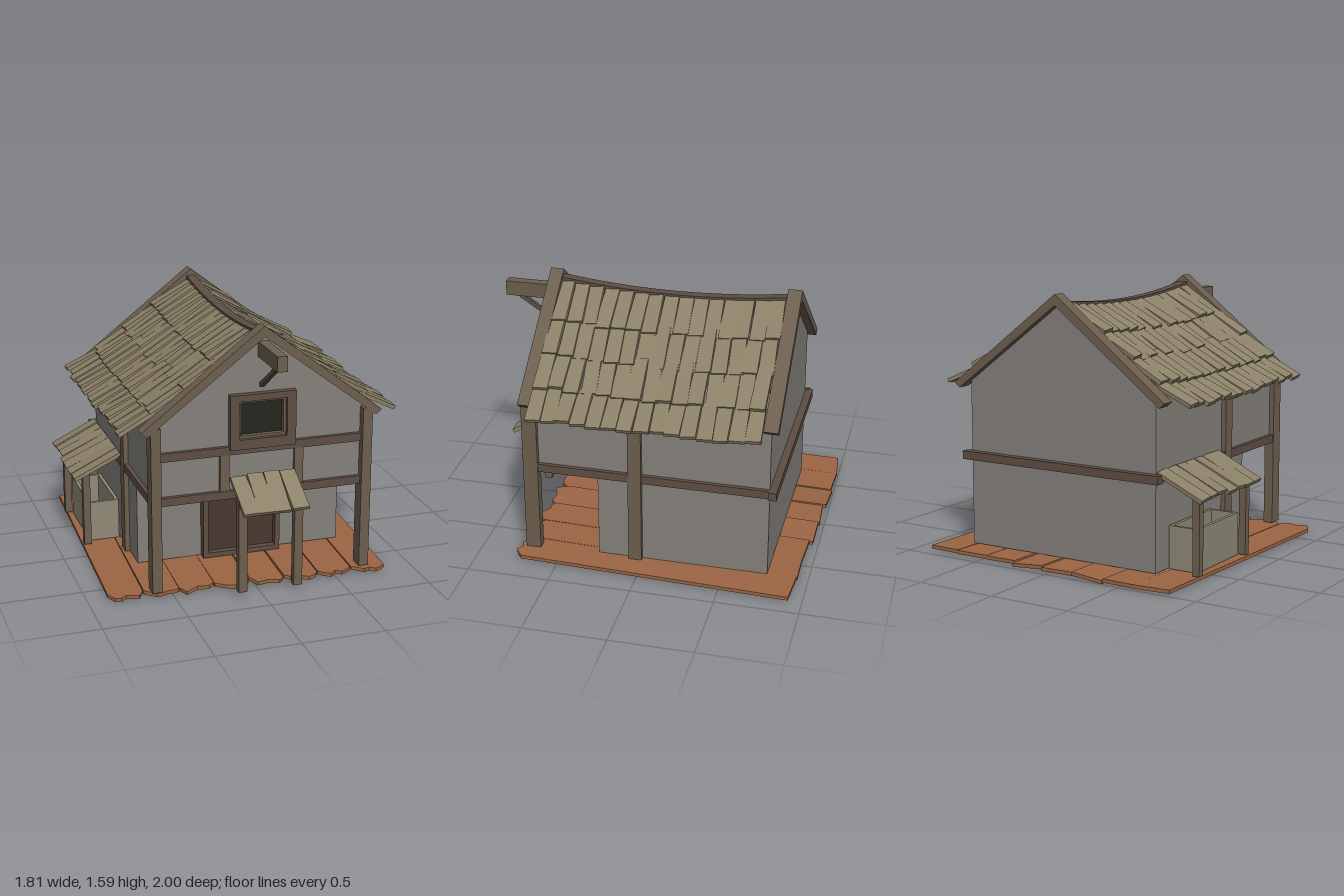
import * as THREE from 'three';

const CX = 0.045; // centre line of the house
const mat = (color) => new THREE.MeshStandardMaterial({ color, flatShading: true, roughness: 0.9, side: THREE.DoubleSide });
const M = {
  wall: mat(0x85817c), timber: mat(0x6d5f4f), dark: mat(0x5e4e44), shingle: mat(0x8c8168),
  plank: mat(0x9c6644), door: mat(0x49382f), glass: mat(0x25261f), crate: mat(0x8f8a76),
};
let seed = 7;
const rnd = (a) => {
  seed = (seed * 16807) % 2147483647;
  return (seed / 2147483647 * 2 - 1) * a;
};

export function createModel() {
  const root = new THREE.Group();
  root.name = 'house';
  const group = (name) => {
    const g = new THREE.Group();
    g.name = name;
    root.add(g);
    return g;
  };
  const add = (parent, name, geo, material) => {
    const m = new THREE.Mesh(geo, material);
    m.name = name;
    parent.add(m);
    return m;
  };
  // box given by its limits
  const box = (parent, name, x0, x1, y0, y1, z0, z1, material) => {
    const m = add(parent, name, new THREE.BoxGeometry(x1 - x0, y1 - y0, z1 - z0), material);
    m.position.set((x0 + x1) / 2, (y0 + y1) / 2, (z0 + z1) / 2);
    return m;
  };
  // outline in x,y extruded from z0 to z1
  const slab = (parent, name, pts, z0, z1, material, hole) => {
    const s = new THREE.Shape(pts.map((p) => new THREE.Vector2(...p)));
    if (hole) s.holes.push(new THREE.Path(hole.map((p) => new THREE.Vector2(...p))));
    const geo = new THREE.ExtrudeGeometry(s, { depth: z1 - z0, bevelEnabled: false });
    return add(parent, name, geo.translate(0, 0, z0), material);
  };
  const rect = (x0, x1, y0, y1) => [[x0, y0], [x1, y0], [x1, y1], [x0, y1]];
  // board running from a to b, with its width along the horizontal axis
  const board = (parent, name, a, b, width, thick, material, flare = 0) => {
    const A = new THREE.Vector3(...a), B = new THREE.Vector3(...b);
    const X = B.clone().sub(A), len = X.length();
    X.normalize();
    const Z = X.clone().cross(new THREE.Vector3(0, 1, 0)).normalize();
    const Y = Z.clone().cross(X);
    const geo = new THREE.BoxGeometry(len, thick, width);
    const p = geo.attributes.position;
    for (let i = 0; i < p.count; i++) p.setZ(i, p.getZ(i) * (p.getX(i) > 0 ? 1 + flare : 1 - flare));
    geo.applyMatrix4(new THREE.Matrix4().makeBasis(X, Y, Z));
    const m = add(parent, name, geo, material);
    m.position.copy(A.add(B).multiplyScalar(0.5));
    return m;
  };

  // plank floor with ragged front ends, slightly askew
  const floor = group('floor');
  for (let i = 0; i < 8; i++) {
    const w = 0.214, x0 = -w / 2, pts = [[x0, 0.885 + rnd(0.02)], [x0 + 0.003, -0.76 + rnd(0.015)]];
    for (let k = 1; k < 6; k++) pts.push([x0 + w * k / 6, -0.8 + rnd(0.028)]);
    pts.push([-x0 - 0.003, -0.76 + rnd(0.015)], [-x0, 0.885 + rnd(0.02)]);
    const plank = slab(floor, 'plank', pts, -0.011, 0.011, M.plank);
    plank.geometry.rotateX(-Math.PI / 2);
    plank.position.set(-0.75 + i * w, 0.028, -0.075);
    plank.rotation.z = rnd(0.09);
  }
  floor.rotation.y = -0.041;

  // walls: closed lower room behind an open porch, upper storey over both
  const walls = group('walls');
  const L = -0.6, R = 0.69;
  box(walls, 'lowerRoom', L, R, 0.045, 0.6, -0.76, 0.27, M.wall);
  box(walls, 'porchCeiling', L, R, 0.585, 0.605, 0.26, 0.67, M.wall);
  for (const x of [L, R - 0.02]) box(walls, 'upperSideWall', x, x + 0.02, 0.6, 1.045, -0.76, 0.67, M.wall);
  const gable = [[L, 0.6], [R, 0.6], [R, 1.06], [CX, 1.56], [L, 1.06]];
  slab(walls, 'frontGable', gable, 0.65, 0.67, M.wall, rect(-0.1, 0.19, 0.93, 1.16));
  slab(walls, 'backGable', gable, -0.76, -0.74, M.wall);

  // timber frame
  const frame = group('timberFrame');
  for (const s of [-1, 1]) {
    const x = CX + s * 0.645;
    box(frame, 'cornerPost', x - 0.03, x + 0.03, 0.045, 1.05, 0.63, 0.72, M.timber);
    box(frame, 'sidePost', x - 0.03, x + 0.03, 0.045, 1.07, 0, 0.08, M.timber);
    box(frame, 'sideBeam', x - 0.025, x + 0.025, 0.57, 0.62, -0.8, 0.64, M.dark);
    const sx = CX + s * 0.2275;
    box(frame, 'stud', sx - 0.0275, sx + 0.0275, 0.62, 0.85, 0.65, 0.69, M.timber);
  }
  box(frame, 'backBeam', -0.64, 0.73, 0.57, 0.62, -0.805, -0.755, M.dark);
  box(frame, 'lowerFrontBeam', L, R, 0.57, 0.62, 0.64, 0.695, M.dark);
  box(frame, 'upperFrontBeam', L, R, 0.84, 0.89, 0.64, 0.695, M.dark);

  // window
  const win = group('window');
  slab(win, 'windowFrame', rect(-0.155, 0.245, 0.87, 1.2), 0.64, 0.71, M.dark, rect(-0.1, 0.19, 0.93, 1.16));
  slab(win, 'windowSash', rect(-0.1, 0.19, 0.93, 1.16), 0.65, 0.685, M.timber, rect(-0.085, 0.175, 0.945, 1.145));
  box(win, 'windowPane', -0.1, 0.19, 0.93, 1.16, 0.645, 0.655, M.glass);

  // arched door on the recessed wall
  const door = group('door');
  const arch = (half, y0, side, top) => {
    const pts = [[CX - half, y0], [CX + half, y0]];
    for (let i = 0; i <= 6; i++) {
      const t = 1 - i / 3;
      pts.push([CX + half * t, top - (top - side) * t * t]);
    }
    return pts;
  };
  slab(door, 'doorFrame', arch(0.245, 0.045, 0.425, 0.485), 0.265, 0.33, M.dark, arch(0.215, 0.075, 0.405, 0.46));
  slab(door, 'doorLeaf', arch(0.22, 0.06, 0.41, 0.465), 0.265, 0.29, M.door);

  // roof: barge boards, sagging ridge, four rows of shingles on each side
  const roof = group('roof');
  const dip = (z) => 0.05 * Math.max(0, 1 - ((z + 0.04) / 0.7) ** 2);
  const chevron = [[0.73, 1.035], [0, 1.6], [-0.73, 1.035], [-0.695, 1.005], [0, 1.535], [0.695, 1.005]]
    .map(([x, y]) => [x + CX, y]);
  slab(roof, 'frontBarge', chevron, 0.64, 0.72, M.timber);
  slab(roof, 'backBarge', chevron, -0.81, -0.725, M.timber);
  const ridge = new THREE.BoxGeometry(0.06, 0.06, 1.39, 1, 1, 12).translate(CX, 1.53, -0.045);
  const rp = ridge.attributes.position;
  for (let i = 0; i < rp.count; i++) rp.setY(i, rp.getY(i) - dip(rp.getZ(i)));
  add(roof, 'ridgeBeam', ridge, M.dark);
  const rows = [ // upper x, y, lower x, y from the centre line, share of the sag
    [0.615, 1.125, 0.84, 1.015, 0.2], [0.41, 1.27, 0.655, 1.13, 0.4],
    [0.21, 1.41, 0.46, 1.255, 0.7], [0.02, 1.535, 0.265, 1.395, 0.9],
  ];
  const count = 15, pitch = 1.37 / count;
  for (const s of [-1, 1]) {
    for (const [x0, y0, x1, y1, sag] of rows) {
      for (let i = 0; i < count; i++) {
        const z = -0.725 + pitch * (i + 0.5), d = dip(z) * sag, e = rnd(0.012);
        const tile = board(roof, 'shingle', [CX + s * x0, y0 - d, z],
          [CX + s * (x1 + e), y1 - d + rnd(0.01), z + rnd(0.008)], pitch * 0.98, 0.024, M.shingle, 0.03);
        tile.rotateX(s * (0.08 + rnd(0.05)));
      }
    }
  }

  // hoist beam above the window
  const hoist = group('hoist');
  box(hoist, 'hoistBeam', 0.02, 0.08, 1.41, 1.5, 0.6, 1, M.timber);
  board(hoist, 'hoistBrace', [CX, 1.42, 0.94], [CX, 1.24, 0.67], 0.025, 0.025, M.dark);

  // awning over the entrance
  const awning = group('awning');
  for (const s of [-1, 1]) {
    const x = CX + s * 0.17;
    box(awning, 'awningPost', x - 0.026, x + 0.026, 0.045, 0.615, 0.815, 0.86, M.timber);
  }
  for (let i = 0; i < 4; i++) {
    const x = -0.105 + i * 0.1;
    board(awning, 'awningShingle', [x, 0.69 + rnd(0.01), 0.69], [x + rnd(0.008), 0.568 + rnd(0.01), 0.945],
      0.098, 0.024, M.shingle, 0.04).rotateX(0.1 + rnd(0.06));
  }

  // lean-to with an open crate on the left of the front
  const shed = group('leanTo');
  for (const z of [-0.67, -0.12]) box(shed, 'leanToPost', -0.845, -0.8, 0.045, 0.53, z - 0.022, z + 0.022, M.timber);
  for (let i = 0; i < 7; i++) {
    const z = -0.71 + i * 0.1;
    board(shed, 'leanToShingle', [-0.61, 0.63, z], [-0.895 + rnd(0.012), 0.495 + rnd(0.01), z + rnd(0.01)],
      0.099, 0.024, M.shingle, 0.03).rotateX(rnd(0.1));
  }
  const crate = group('crate');
  box(crate, 'crateBase', -0.8, -0.61, 0.045, 0.1, -0.63, -0.15, M.crate);
  for (const x of [-0.8, -0.63]) box(crate, 'crateLongSide', x, x + 0.02, 0.045, 0.3, -0.63, -0.15, M.crate);
  for (const z of [-0.63, -0.17]) box(crate, 'crateEnd', -0.78, -0.63, 0.045, 0.3, z, z + 0.02, M.crate);

  return root;
}
